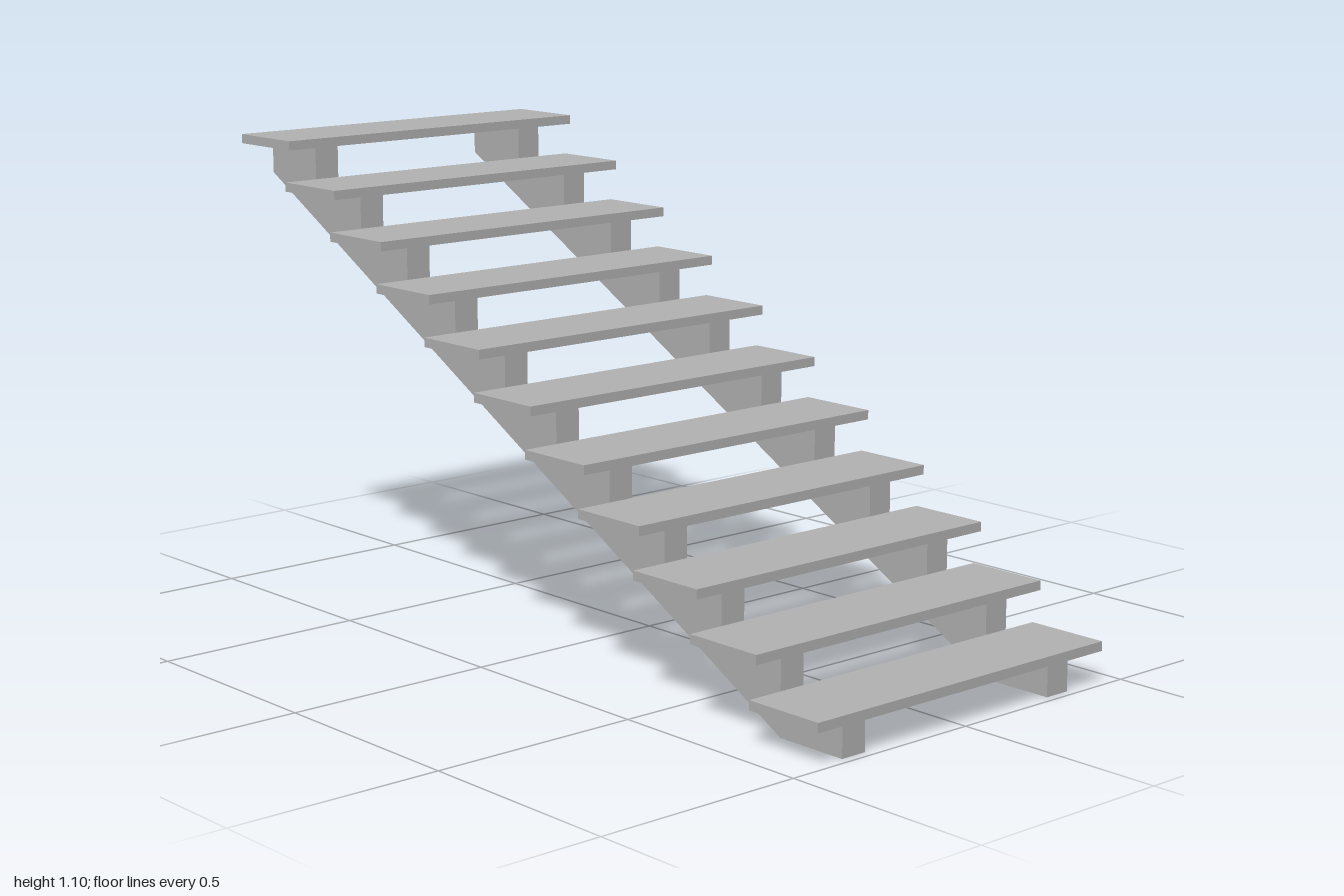
import * as THREE from 'three';

const STEPS = 11;
const RISE = 0.1;
const RUN = 0.18;
const TREAD = { width: 0.866, thickness: 0.022, depth: 0.2 };
const STRINGER = { inner: 0.279, width: 0.065 };
const NOSING = 0.02;

// Saw-tooth side profile of a stringer, drawn with u = -z (towards the back)
function stringerGeometry() {
  const shape = new THREE.Shape();
  const start = -1 + NOSING;
  shape.moveTo(start, 0);
  for (let i = 0; i < STEPS; i++) {
    const y = (i + 1) * RISE - TREAD.thickness;
    shape.lineTo(start + i * RUN, y);
    shape.lineTo(start + (i + 1) * RUN, y);
  }
  shape.lineTo(1, (STEPS - 1) * RISE);
  shape.lineTo(start + RUN, 0);
  shape.closePath();
  const geometry = new THREE.ExtrudeGeometry(shape, { depth: STRINGER.width, bevelEnabled: false });
  return geometry.rotateY(Math.PI / 2);
}

export function createModel() {
  const group = new THREE.Group();
  group.name = 'openStaircase';
  const grey = new THREE.MeshStandardMaterial({ color: 0xb2b2b2 });
  grey.name = 'grey';

  // Two notched stringers carrying the treads
  const sideGeometry = stringerGeometry();
  for (const [name, x] of [
    ['leftStringer', STRINGER.inner],
    ['rightStringer', -STRINGER.inner - STRINGER.width],
  ]) {
    const stringer = new THREE.Mesh(sideGeometry, grey);
    stringer.name = name;
    stringer.position.x = x;
    group.add(stringer);
  }

  // Treads, each overhanging the riser edge below it
  const treadGeometry = new THREE.BoxGeometry(TREAD.width, TREAD.thickness, TREAD.depth);
  for (let i = 0; i < STEPS; i++) {
    const tread = new THREE.Mesh(treadGeometry, grey);
    tread.name = `tread${i + 1}`;
    tread.position.set(0, (i + 1) * RISE - TREAD.thickness / 2, 1 - TREAD.depth / 2 - i * RUN);
    group.add(tread);
  }
  return group;
}
